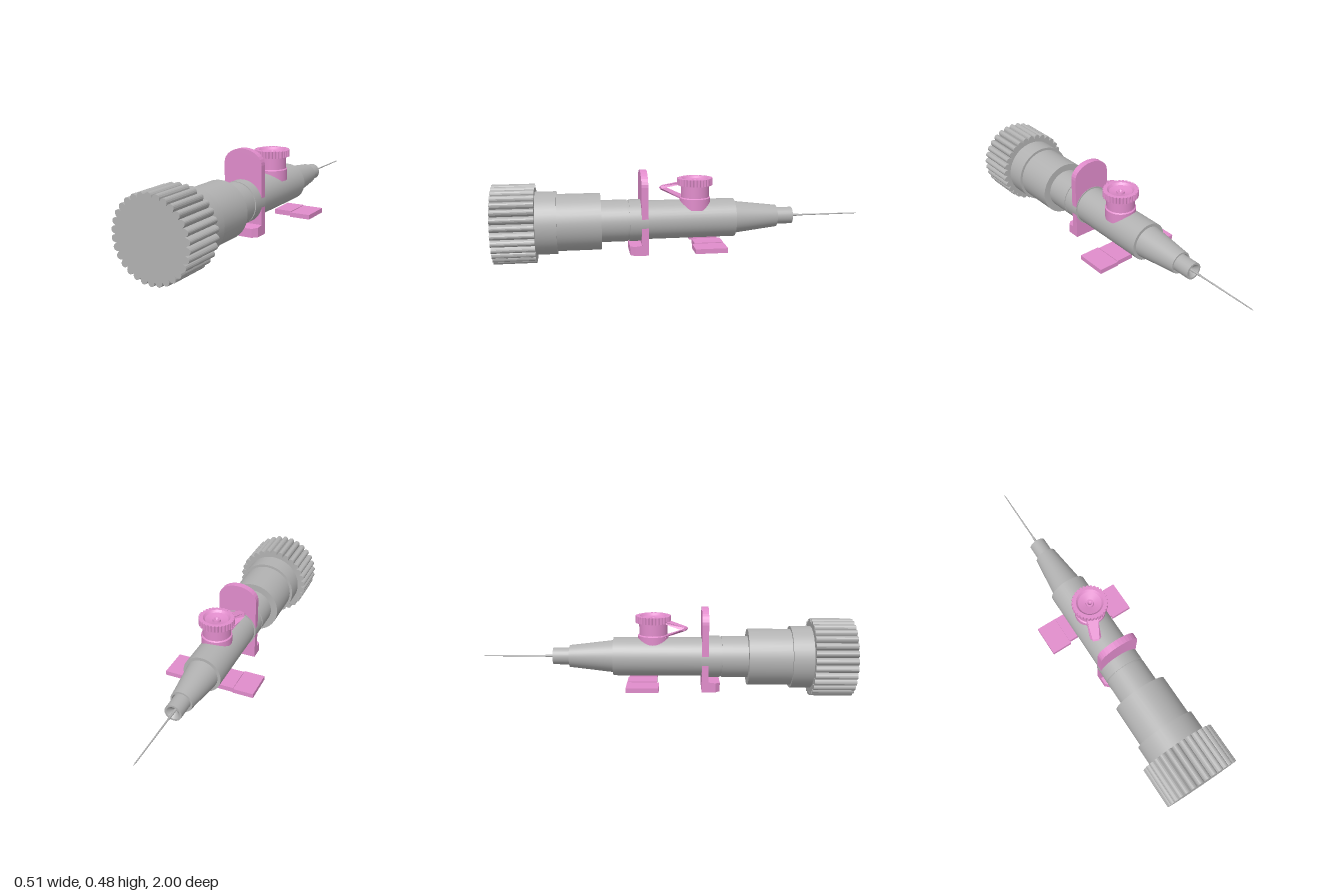
import * as THREE from 'three';
import { mergeGeometries } from 'three/addons/utils/BufferGeometryUtils.js';

const AXIS_Y = 0.212;

export function createModel() {
  const group = new THREE.Group();
  const grey = new THREE.MeshStandardMaterial({ name: 'greyPlastic', color: 0xb2b2b2 });
  const pink = new THREE.MeshStandardMaterial({ name: 'pinkPlastic', color: 0xe08ccb });

  const add = (name, geometry, material, x = 0, y = 0, z = 0) => {
    const mesh = new THREE.Mesh(geometry, material);
    mesh.name = name;
    mesh.position.set(x, y, z);
    group.add(mesh);
    return mesh;
  };

  // Revolve a [radius, height] profile, keeping a sharp edge at every point
  const revolve = (profile, sides = 40) => mergeGeometries(profile.slice(1).map((p, i) =>
    new THREE.LatheGeometry([new THREE.Vector2(...profile[i]), new THREE.Vector2(...p)], sides)));
  const alongZ = (name, profile, sides) =>
    add(name, revolve(profile, sides).rotateX(Math.PI / 2), grey, 0, AXIS_Y, 0);

  // Outline with rounded lobes and narrow notches, for the grips
  const lobedPrism = (outer, inner, lobes, depth, hole = 0) => {
    const pts = [];
    const steps = 8;
    for (let i = 0; i < lobes * steps; i++) {
      const a = (i / (lobes * steps)) * Math.PI * 2;
      const r = inner + (outer - inner) * Math.pow(Math.abs(Math.cos(a * lobes / 2)), 0.6);
      pts.push(new THREE.Vector2(Math.sin(a) * r, Math.cos(a) * r));
    }
    const shape = new THREE.Shape(pts);
    if (hole) shape.holes.push(new THREE.Path().absarc(0, 0, hole, 0, Math.PI * 2, true));
    return new THREE.ExtrudeGeometry(shape, { depth, bevelEnabled: false, curveSegments: 20 });
  };

  // Ribbed end cap and stepped chamber
  add('endCap', lobedPrism(0.21, 0.187, 30, 0.22), grey, 0, AXIS_Y, 0.78);
  alongZ('capCollar', [[0, 0.67], [0.167, 0.67], [0.167, 0.78]]);
  alongZ('chamber', [[0, 0.44], [0.152, 0.44], [0.152, 0.67]]);
  alongZ('chamberNeck', [[0.105, 0.3], [0.113, 0.3], [0.113, 0.44]]);
  alongZ('neckGroove', [[0.108, 0.285], [0.108, 0.305]]);
  alongZ('rearSleeve', [[0.1, 0.19], [0.113, 0.19], [0.113, 0.29], [0.1, 0.29]]);

  // Body, tapering nose with a recessed mouth, hollow tip and needle
  alongZ('body', [[0.08, -0.285], [0.105, -0.285], [0.105, 0.2]]);
  alongZ('nose', [[0.04, -0.5], [0.051, -0.5], [0.051, -0.525], [0.06, -0.525],
    [0.065, -0.48], [0.088, -0.285]]);
  alongZ('tip', [[0.004, -0.585], [0.036, -0.615], [0.046, -0.615], [0.046, -0.5]], 28);
  alongZ('needleBase', [[0, -0.66], [0.006, -0.66], [0.007, -0.58]], 10);
  alongZ('needle', [[0, -1], [0.003, -0.985], [0.0045, -0.65]], 10);

  // Upright thumb plate with an arched top
  const plate = new THREE.Shape();
  plate.moveTo(-0.11, 0.045);
  plate.lineTo(0.11, 0.045);
  plate.lineTo(0.11, 0.405);
  plate.absellipse(0, 0.405, 0.11, 0.08, 0, Math.PI, false);
  plate.closePath();
  add('thumbPlate', new THREE.ExtrudeGeometry(plate,
    { depth: 0.036, bevelEnabled: false, curveSegments: 8 }), pink, 0, 0, 0.192);

  // Foot of the plate, sloped on top and chamfered at its front corners
  const foot = new THREE.Shape([[-0.11, -0.192], [0.11, -0.192], [0.11, -0.265], [0.085, -0.29],
    [-0.085, -0.29], [-0.11, -0.265]].map(p => new THREE.Vector2(...p)).reverse());
  const footGeo = new THREE.ExtrudeGeometry(foot, { depth: 0.06, bevelEnabled: false }).rotateX(-Math.PI / 2);
  const fp = footGeo.attributes.position;
  for (let i = 0; i < fp.count; i++) {
    if (fp.getY(i) > 0.03) fp.setY(i, 0.06 - Math.max(0, fp.getZ(i) - 0.192) * 0.13);
  }
  footGeo.computeVertexNormals();
  add('plateFoot', footGeo, pink, 0, 0.04, 0);

  // Side wings, each with a narrower root under the body
  for (const side of [1, -1]) {
    add('wing', new THREE.BoxGeometry(0.115, 0.025, 0.17), pink, side * 0.1975, 0.0915, -0.12);
    add('wingRoot', new THREE.BoxGeometry(0.1, 0.027, 0.155), pink, side * 0.091, 0.0945, -0.125);
  }

  // Injection port: neck, ribbed lid and funnel-shaped recess
  const port = new THREE.Group();
  port.name = 'injectionPort';
  port.position.set(0.01, 0, -0.07);
  group.add(port);
  const addPort = (name, geometry) => {
    const mesh = add(name, geometry, pink);
    port.add(mesh);
    return mesh;
  };
  addPort('portNeck', revolve([[0.083, 0.27], [0.083, 0.33], [0.076, 0.335], [0.076, 0.405]], 32));
  addPort('portLid', lobedPrism(0.096, 0.087, 30, 0.037, 0.072).rotateX(-Math.PI / 2)).position.y = 0.4;
  addPort('lidUnderside', revolve([[0.07, 0.4], [0.074, 0.4]], 32));
  addPort('lidRecess', revolve([[0.073, 0.437], [0.062, 0.425], [0.022, 0.414], [0.02, 0.426],
    [0.012, 0.426], [0, 0.412]].reverse().map(([r, y]) => [r, y]), 32).scale(1, 1, 1));
  port.getObjectByName('lidRecess').geometry.index.array.reverse();
  const recess = port.getObjectByName('lidRecess').geometry;
  recess.computeVertexNormals();

  // Folded hinge strap running from the neck out and back up to the lid
  const outer = [[0.06, 0.32], [0.08, 0.326], [0.19, 0.368], [0.197, 0.378], [0.19, 0.387], [0.08, 0.412], [0.06, 0.412]];
  const inner = [[0.06, 0.332], [0.08, 0.338], [0.178, 0.375], [0.08, 0.4], [0.06, 0.4]];
  const strap = new THREE.Shape([...outer, ...inner.reverse()].map(p => new THREE.Vector2(...p)));
  const strapGeo = new THREE.ExtrudeGeometry(strap, { depth: 0.06, bevelEnabled: false });
  strapGeo.translate(0, 0, -0.03);
  const sp = strapGeo.attributes.position;
  for (let i = 0; i < sp.count; i++) {
    sp.setZ(i, sp.getZ(i) * (sp.getX(i) > 0.185 ? 0.6 : 1));
  }
  strapGeo.computeVertexNormals();
  addPort('hingeStrap', strapGeo).rotation.y = -Math.PI / 2 - 0.4;

  return group;
}
